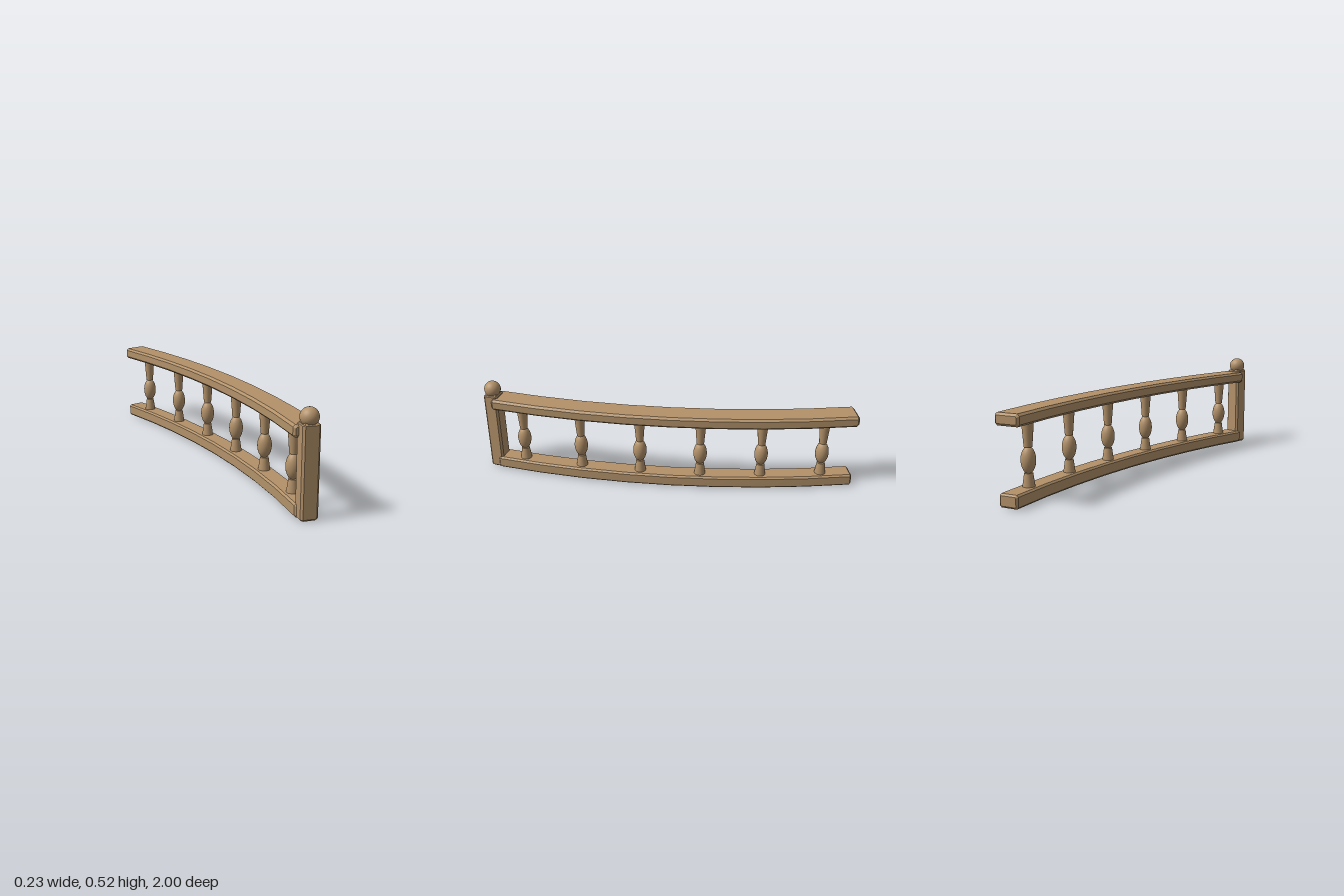
import * as THREE from 'three';
import { toCreasedNormals } from 'three/addons/utils/BufferGeometryUtils.js';

// Plan arc followed by both rails and the balusters
const HALF = 0.966, SAG = 0.1, Z0 = -0.022;
const R = (HALF * HALF + SAG * SAG) / (2 * SAG);
const END = Math.asin(HALF / R);
const onArc = (a, u, y) => new THREE.Vector3(0.05 - R + (R + u) * Math.cos(a), y, Z0 + (R + u) * Math.sin(a));

// Chamfered rectangle, counter-clockwise; inset shrinks it for bevelled ends
function octagon(w, h, c, inset = 0) {
  const x = w / 2 - inset, y = h / 2 - inset, k = c - inset * 0.5;
  return [[x, -y + k], [x, y - k], [x - k, y], [-x + k, y], [-x, y - k], [-x, -y + k], [-x + k, -y], [x - k, -y]];
}

// Skin a list of equal-length rings and close both ends
function loft(rings) {
  const p = [], n = rings[0].length, last = rings[rings.length - 1];
  const tri = (...v) => v.forEach((q) => p.push(q.x, q.y, q.z));
  for (let i = 0; i < rings.length - 1; i++) {
    for (let j = 0; j < n; j++) {
      const k = (j + 1) % n, A = rings[i], B = rings[i + 1];
      tri(A[j], B[j], B[k]);
      tri(A[j], B[k], A[k]);
    }
  }
  for (let j = 1; j < n - 1; j++) {
    tri(rings[0][0], rings[0][j], rings[0][j + 1]);
    tri(last[0], last[j + 1], last[j]);
  }
  const g = new THREE.BufferGeometry();
  g.setAttribute('position', new THREE.Float32BufferAttribute(p, 3));
  return toCreasedNormals(g, 0.3);
}

// Curved rail with chamfered edges and ends
function railGeometry(w, y0, y1, c) {
  const h = y1 - y0, steps = 8, rings = [];
  const ring = (a, inset) => octagon(w, h, c, inset).map(([u, v]) => onArc(a, u, (y0 + y1) / 2 + v));
  const e = END - c / R;
  rings.push(ring(END, c));
  for (let i = 0; i <= steps; i++) rings.push(ring(e - (2 * e * i) / steps, 0));
  rings.push(ring(-END, c));
  return loft(rings);
}

// Upright post with chamfered edges and ends
function postGeometry(w, d, h, c) {
  const ring = (y, inset) => octagon(w, d, c, inset).map(([x, v]) => new THREE.Vector3(x, y, -v)).reverse();
  return loft([ring(0, c), ring(c, 0), ring(h - 0.004, 0), ring(h, 0.004)].map((r) => r.reverse()).reverse());
}

export function createModel() {
  const model = new THREE.Group();
  model.name = 'curvedRailing';
  const wood = new THREE.MeshStandardMaterial({ color: 0xb3926a });
  wood.name = 'wood';
  const add = (parent, name, geo, x = 0, y = 0, z = 0) => {
    const m = new THREE.Mesh(geo, wood);
    m.name = name;
    m.position.set(x, y, z);
    parent.add(m);
    return m;
  };

  // Rails
  add(model, 'handRail', railGeometry(0.13, 0.375, 0.435, 0.011));
  add(model, 'bottomRail', railGeometry(0.1, 0.002, 0.068, 0.009));

  // End post, turned to follow the arc, with a ball finial
  const post = new THREE.Group();
  post.name = 'endPost';
  post.position.set(-0.051, 0, 0.956);
  post.rotation.y = -END;
  model.add(post);
  add(post, 'postShaft', postGeometry(0.085, 0.078, 0.444, 0.01));
  const cap = new THREE.CylinderGeometry(0.036, 0.05, 0.014, 4).rotateY(Math.PI / 4);
  add(post, 'postCap', toCreasedNormals(cap, 0.3), 0, 0.449, 0);
  add(post, 'ballFinial', new THREE.SphereGeometry(0.044, 32, 20), 0, 0.472, 0);

  // Turned balusters: flared foot, bulb and tapered neck
  const foot = new THREE.CylinderGeometry(0.021, 0.031, 0.07, 24);
  const bulb = new THREE.SphereGeometry(0.036, 24, 18).scale(1, 1.8, 1);
  const neck = new THREE.CylinderGeometry(0.03, 0.02, 0.13, 24);
  for (let i = 0; i < 6; i++) {
    const z = 0.797 - i * 0.3246;
    const baluster = new THREE.Group();
    baluster.name = 'baluster' + (i + 1);
    baluster.position.copy(onArc(Math.asin((z - Z0) / R), 0, 0));
    add(baluster, 'balusterFoot', foot, 0, 0.097, 0);
    add(baluster, 'balusterBulb', bulb, 0, 0.193, 0);
    add(baluster, 'balusterNeck', neck, 0, 0.319, 0);
    model.add(baluster);
  }
  return model;
}
